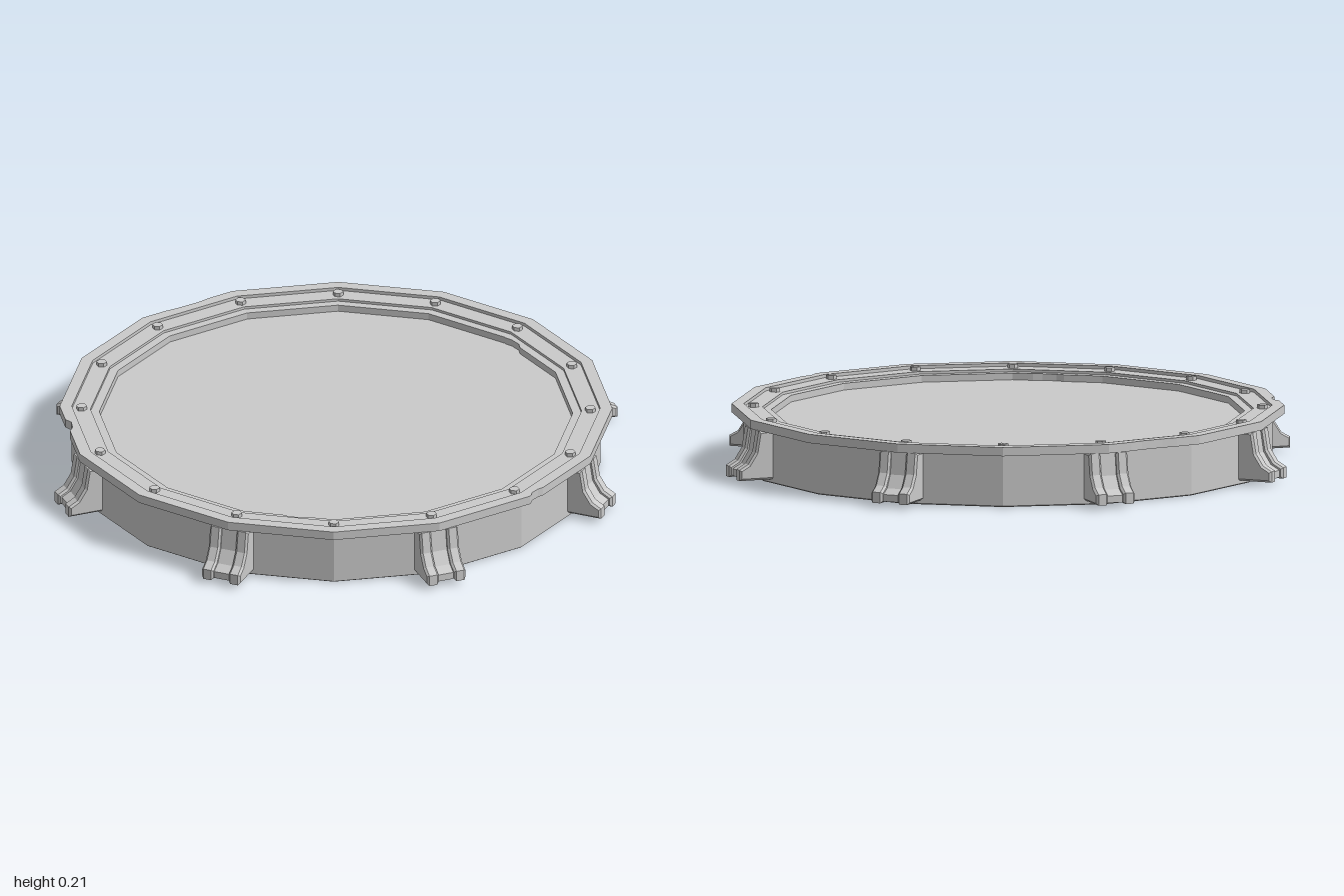
import * as THREE from 'three';

const SIDES = 16;
const V = (x, y) => new THREE.Vector2(x, y);

// Sixteen-sided outline; each chip is a small nick of given depth in one edge
function outline(r, chips = []) {
  const corner = (k) => V(r * Math.cos((k * 2 * Math.PI) / SIDES), r * Math.sin((k * 2 * Math.PI) / SIDES));
  const pts = [];
  for (let k = 0; k < SIDES; k++) {
    const a = corner(k), b = corner(k + 1);
    pts.push(a);
    for (const { edge, t, w, depth } of chips) {
      if (edge !== k) continue;
      const at = (s, d) => a.clone().lerp(b, s).multiplyScalar(1 - d);
      pts.push(at(t - w, 0), at(t - w * 0.5, depth), at(t + w * 0.4, depth * 0.8), at(t + w, 0));
    }
  }
  return pts;
}

// Flat ring lying on height y
function ring(outer, inner, y, height) {
  const shape = new THREE.Shape(outer);
  shape.holes.push(new THREE.Path(inner));
  const geo = new THREE.ExtrudeGeometry(shape, { depth: height, bevelEnabled: false });
  return geo.rotateX(-Math.PI / 2).translate(0, y, 0);
}

// Bracket slice: side profile swept across its width, pointing to +x
function bracketSlice(profile, width, zCentre, bevel) {
  const geo = new THREE.ExtrudeGeometry(new THREE.Shape(profile), {
    depth: width - 2 * bevel, bevelEnabled: bevel > 0, bevelSize: bevel,
    bevelThickness: bevel, bevelOffset: -bevel, bevelSegments: 1,
  });
  return geo.translate(0, 0, zCentre - width / 2 + bevel);
}

export function createModel() {
  const model = new THREE.Group();
  const grey = new THREE.MeshStandardMaterial({ color: 0xcacaca, flatShading: true });
  grey.name = 'grey metal';
  const add = (name, geo, parent = model) => {
    const mesh = new THREE.Mesh(geo, grey);
    mesh.name = name;
    parent.add(mesh);
    return mesh;
  };

  // Drum body with recessed underside, bolt channel and shallow floor
  add('body', new THREE.LatheGeometry([
    V(0, 0.01), V(0.866, 0.01), V(0.876, 0), V(0.888, 0), V(0.894, 0.004),
    V(0.894, 0.2), V(0.83, 0.2), V(0.83, 0.168), V(0, 0.168),
  ], SIDES));

  // Overhanging outer lip with worn nicks
  add('outerLip', ring(outline(0.934, [
    { edge: 7, t: 0.4, w: 0.12, depth: 0.018 },
    { edge: 13, t: 0.12, w: 0.1, depth: 0.01 },
    { edge: 4, t: 0.5, w: 0.25, depth: 0.006 },
  ]), outline(0.893).reverse(), 0.181, 0.03));

  // Inner ledge around the floor
  add('innerLedge', ring(outline(0.831), outline(0.8, [
    { edge: 0, t: 0.84, w: 0.14, depth: -0.014 },
    { edge: 10, t: 0.6, w: 0.17, depth: -0.01 },
  ]).reverse(), 0.167, 0.024));

  // Hexagonal bolts in the channel, one per corner
  for (let i = 0; i < SIDES; i++) {
    const a = (i * 2 * Math.PI) / SIDES;
    const bolt = add('bolt', new THREE.CylinderGeometry(0.018, 0.018, 0.016, 6));
    bolt.position.set(0.86 * Math.cos(a), 0.205, 0.86 * Math.sin(a));
  }

  // Eight flared brackets: two chamfered cheeks and a slightly recessed web
  const cheek = [V(0.84, 0.015), V(1, 0.015), V(1, 0.052), V(0.968, 0.07), V(0.942, 0.11), V(0.93, 0.182), V(0.84, 0.182)];
  const web = [V(0.84, 0.02), V(0.988, 0.02), V(0.988, 0.044), V(0.957, 0.061), V(0.93, 0.104), V(0.918, 0.182), V(0.84, 0.182)];
  for (let i = 0; i < 8; i++) {
    const bracket = new THREE.Group();
    bracket.name = 'bracket';
    for (const s of [-1, 1]) add('bracketCheek', bracketSlice(cheek, 0.042, s * 0.049, 0.007), bracket);
    add('bracketWeb', bracketSlice(web, 0.064, 0, 0), bracket);
    bracket.rotation.y = (i * Math.PI) / 4;
    model.add(bracket);
  }
  return model;
}
